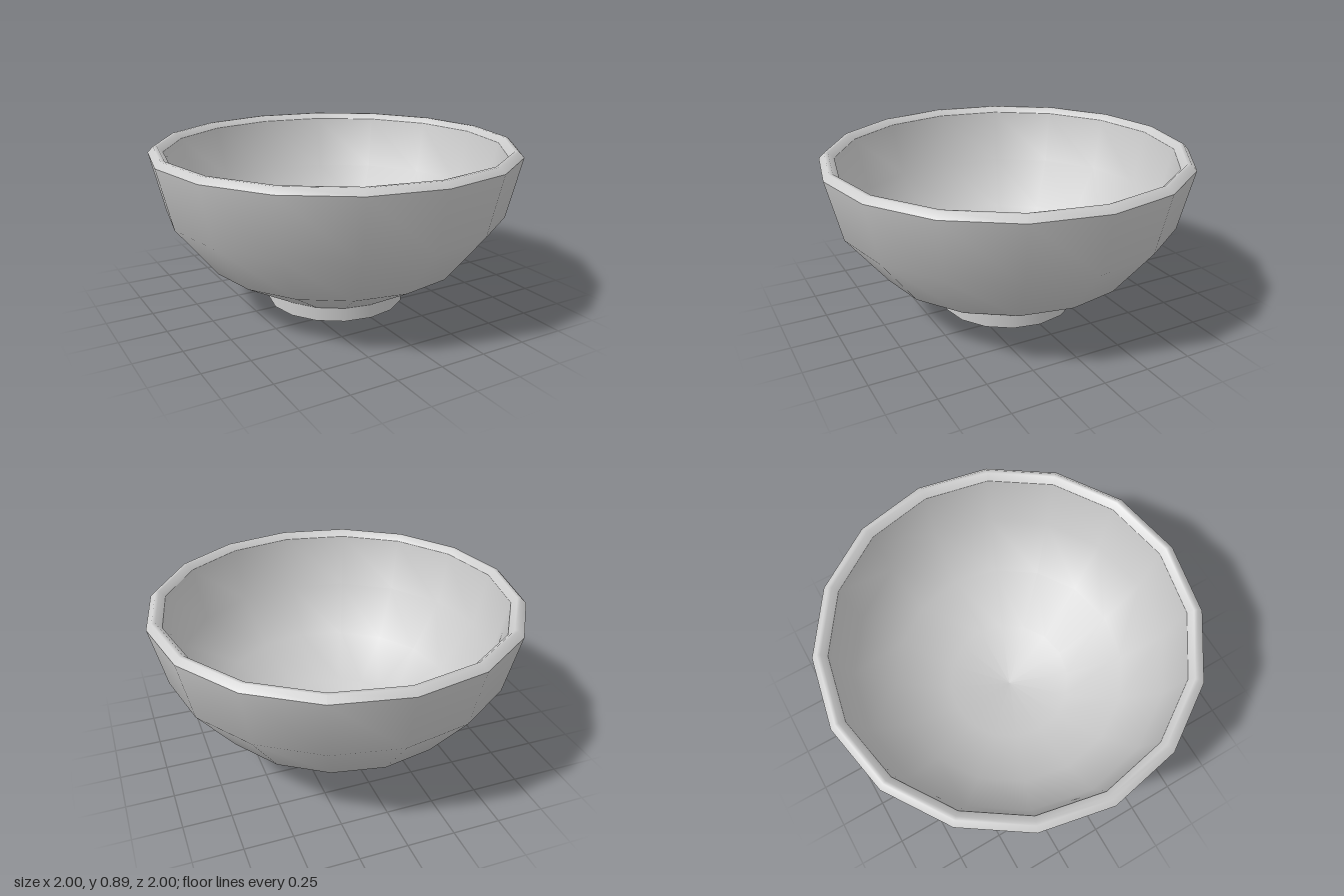
import * as THREE from 'three';

const SIDES = 16;
const RIM_Y = 0.86;

// Quarter-ellipse profile from the pole (or a later step) up to the rim
function bowlProfile(radius, depth, firstStep) {
  const points = [];
  for (let i = firstStep; i <= 4; i++) {
    const a = (i / 4) * Math.PI / 2;
    points.push(new THREE.Vector2(radius * Math.sin(a), RIM_Y - depth * Math.cos(a)));
  }
  return points;
}

export function createModel() {
  const group = new THREE.Group();
  group.name = 'bowl';
  const material = new THREE.MeshStandardMaterial({ color: 0xcccccc });

  const add = (name, geometry) => {
    const mesh = new THREE.Mesh(geometry, material);
    mesh.name = name;
    group.add(mesh);
    return mesh;
  };
  const lathe = (points) => new THREE.LatheGeometry(points, SIDES);

  // Outer wall, from the foot up to the rim
  const outer = bowlProfile(1, 0.85, 1);
  add('outerWall', lathe(outer));

  // Inner wall runs downwards so that it faces inwards
  add('innerWall', lathe(bowlProfile(0.92, 0.78, 0).reverse()));

  // Bevelled rim joining both walls
  add('rim', lathe([[1, RIM_Y], [0.97, 0.89], [0.95, 0.89], [0.92, RIM_Y]]
    .map(([x, y]) => new THREE.Vector2(x, y))));

  // Short foot with a flat underside
  const { x: footRadius, y: footHeight } = outer[0];
  const foot = add('foot', new THREE.CylinderGeometry(footRadius, footRadius, footHeight, SIDES));
  foot.position.y = footHeight / 2;

  return group;
}
